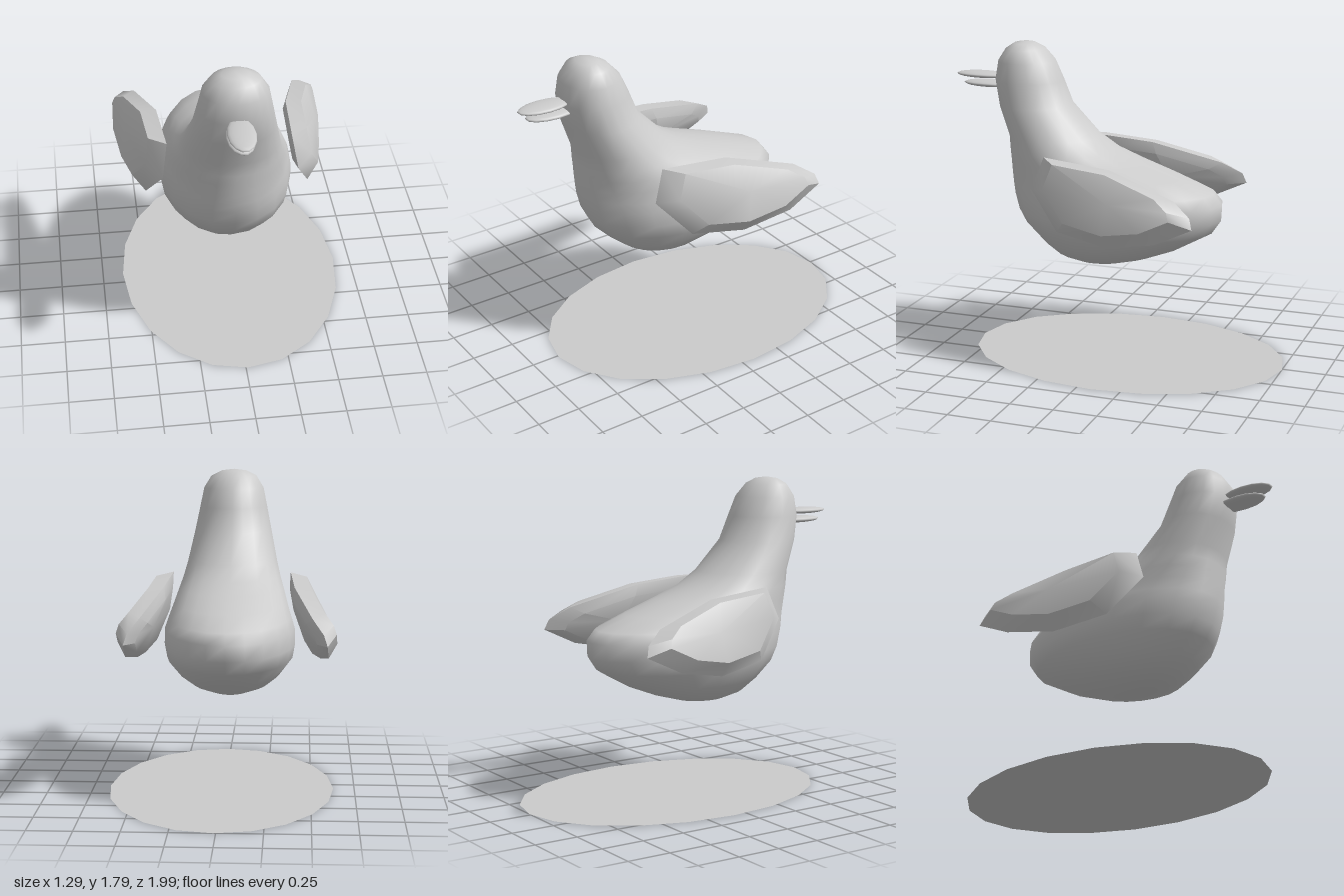
import * as THREE from 'three';
import { toCreasedNormals } from 'three/addons/utils/BufferGeometryUtils.js';

const material = new THREE.MeshStandardMaterial({ color: 0xcccccc });
const SIDES = 20;

// Skin a stack of rings; a ring with one point closes an end.
function loft(rings) {
  const starts = [], points = [], index = [];
  for (const ring of rings) {
    starts.push(points.length);
    points.push(...ring);
  }
  const n = Math.max(...rings.map((r) => r.length));
  const at = (i, j) => starts[i] + (j % rings[i].length);
  for (let i = 0; i < rings.length - 1; i++) {
    for (let j = 0; j < n; j++) {
      const a = at(i, j), b = at(i, j + 1), c = at(i + 1, j + 1), d = at(i + 1, j);
      if (a !== b) index.push(a, b, c);
      if (c !== d) index.push(a, c, d);
    }
  }
  const geometry = new THREE.BufferGeometry().setFromPoints(points);
  geometry.setIndex(index);
  geometry.computeVertexNormals();
  return geometry;
}

function addMesh(parent, name, geometry, mat = material) {
  const mesh = new THREE.Mesh(geometry, mat);
  mesh.name = name;
  parent.add(mesh);
  return mesh;
}

// Body, neck and head: level sections [y, back z, front z, half width]
function bodyGeometry() {
  const sections = [
    [0.535, -0.04, 0.25, 0.11],
    [0.58, -0.2, 0.36, 0.215],
    [0.65, -0.38, 0.45, 0.29],
    [0.75, -0.56, 0.55, 0.36],
    [0.83, -0.615, 0.595, 0.374],
    [0.92, -0.62, 0.62, 0.372],
    [0.98, -0.57, 0.63, 0.352],
    [1.05, -0.38, 0.636, 0.328],
    [1.12, -0.17, 0.64, 0.305],
    [1.18, -0.01, 0.645, 0.285],
    [1.26, 0.12, 0.65, 0.264],
    [1.43, 0.285, 0.71, 0.228],
    [1.57, 0.34, 0.738, 0.2],
    [1.68, 0.39, 0.72, 0.178],
    [1.75, 0.455, 0.675, 0.135],
    [1.78, 0.51, 0.63, 0.075],
  ];
  const rings = sections.map(([y, back, front, width]) =>
    Array.from({ length: SIDES }, (_, j) => {
      const a = (j / SIDES) * Math.PI * 2;
      const x = width * Math.sin(a) * (1 + 0.08 * Math.cos(a));
      return new THREE.Vector3(x, y, (front + back) / 2 + ((front - back) / 2) * Math.cos(a));
    }));
  return loft([
    [new THREE.Vector3(0, 0.52, 0.1)],
    ...rings,
    [new THREE.Vector3(0, 1.79, 0.57)],
  ]);
}

// Folded wing: a rim, with a shallow inner and a fuller outer bulge
function wingGeometry(side) {
  const rim = [
    [0.345, 1.2, 0.32], [0.375, 1.02, 0.385], [0.46, 0.81, 0.2],
    [0.52, 0.765, -0.11], [0.56, 0.82, -0.4], [0.55, 0.92, -0.61],
    [0.53, 0.98, -0.59], [0.47, 1.05, -0.48], [0.37, 1.165, -0.08],
  ].map((p) => new THREE.Vector3(...p));
  const centre = rim.reduce((s, p) => s.add(p), new THREE.Vector3()).divideScalar(rim.length);
  const normal = new THREE.Vector3(0.85, 0.45, 0.2).normalize();
  const bulge = (scale, height) => rim.map((p) =>
    p.clone().lerp(centre, 1 - scale).addScaledVector(normal, height));
  const rings = [
    [centre.clone().addScaledVector(normal, -0.05)],
    bulge(0.75, -0.04),
    rim,
    bulge(0.78, 0.08),
    [centre.clone().addScaledVector(normal, 0.1)],
  ].map((ring) => {
    const mirrored = ring.map((p) => new THREE.Vector3(side * p.x, p.y, p.z));
    return side < 0 ? mirrored.reverse() : mirrored;
  });
  return toCreasedNormals(loft(rings), 0.7);
}

export function createModel() {
  const model = new THREE.Group();
  model.name = 'bird';

  const bird = new THREE.Group();
  bird.name = 'birdBody';
  bird.position.x = -0.03;
  model.add(bird);

  addMesh(bird, 'body', bodyGeometry());
  addMesh(bird, 'leftWing', wingGeometry(1));
  addMesh(bird, 'rightWing', wingGeometry(-1));

  // Two flattened halves of the bill
  for (const [name, y, z, ry] of [['upperBill', 1.58, 0.84, 0.019], ['lowerBill', 1.53, 0.795, 0.02]]) {
    const bill = addMesh(bird, name, new THREE.SphereGeometry(1, 14, 10));
    bill.scale.set(0.076, ry, 0.158);
    bill.position.set(0, y, z);
  }

  // Flat oval beneath the bird
  const flat = material.clone();
  flat.side = THREE.DoubleSide;
  const oval = new THREE.CircleGeometry(1, SIDES).rotateX(-Math.PI / 2).scale(0.643, 1, 0.92);
  addMesh(model, 'groundOval', oval, flat).position.set(0.013, 0, -0.08);

  return model;
}
